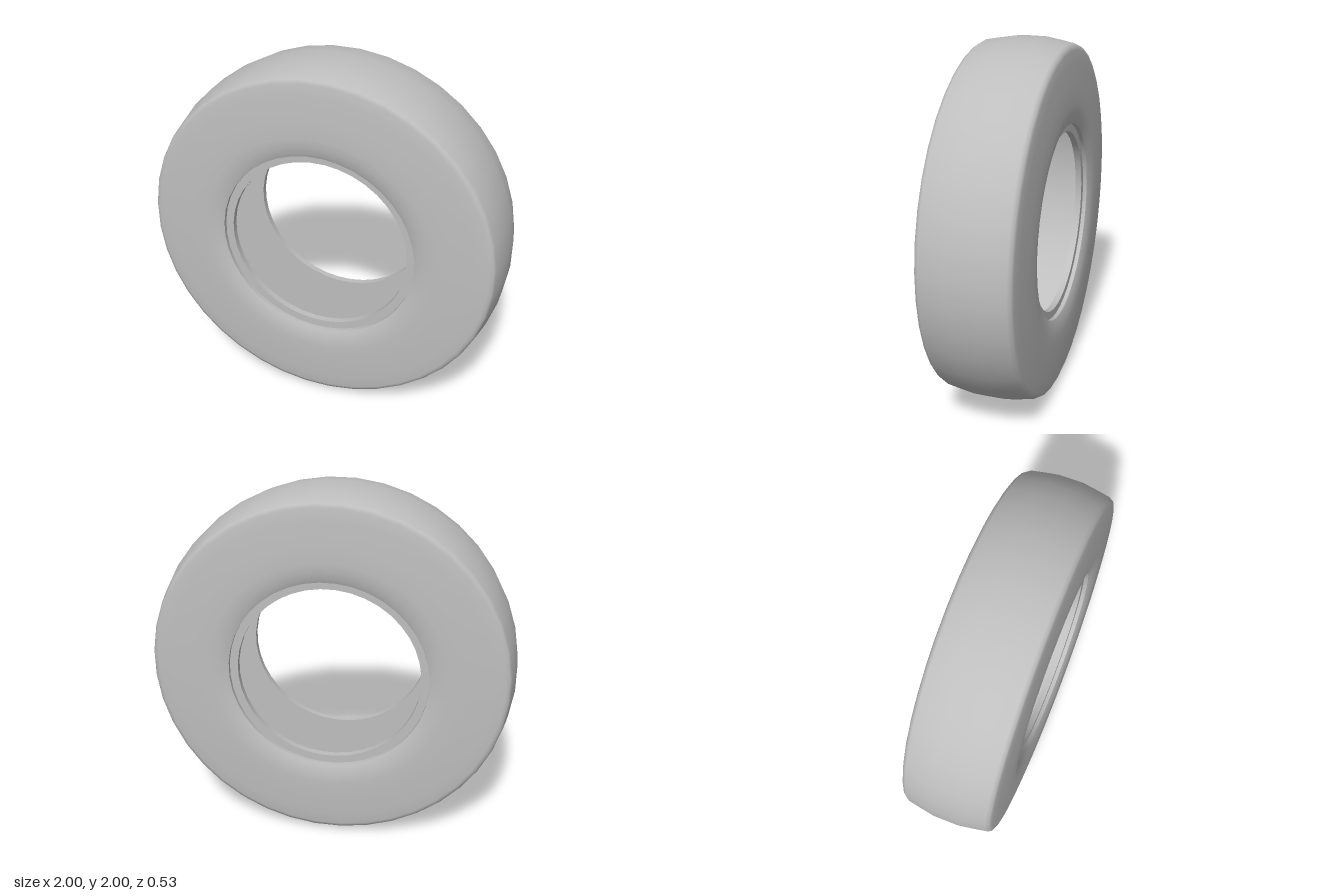
import * as THREE from 'three';

const SEGMENTS = 40;

// Revolve a [radius, z] profile about the z axis, with a flat facet at the bottom.
function revolve(name, profile, material) {
  const points = profile.map(([r, z]) => new THREE.Vector2(r, z));
  const geometry = new THREE.LatheGeometry(points, SEGMENTS, Math.PI / SEGMENTS);
  geometry.rotateX(Math.PI / 2);
  const mesh = new THREE.Mesh(geometry, material);
  mesh.name = name;
  return mesh;
}

// Mirror a back-to-middle profile so that it runs from back to front.
const mirrored = (half) => [...half, ...half.map(([r, z]) => [r, -z]).reverse()];

export function createModel() {
  const rubber = new THREE.MeshStandardMaterial({ color: 0xbebebe });
  rubber.name = 'grey rubber';

  const tyre = new THREE.Group();
  tyre.name = 'tyre';

  // Rounded sidewalls, shoulders and crowned tread
  tyre.add(revolve('outerShell', mirrored([
    [0.548, -0.243], [0.57, -0.252], [0.61, -0.261], [0.66, -0.265],
    [0.76, -0.262], [0.88, -0.254], [0.945, -0.248], [0.966, -0.24],
    [0.977, -0.222], [0.99, -0.15], [1.003, -0.07],
  ]), rubber));

  // Hollow inside, walked from front to back so it faces inward
  tyre.add(revolve('innerFrontWall', [[0.503, 0.185], [0.92, 0.185]], rubber));
  tyre.add(revolve('innerTread', [[0.92, 0.185], [0.92, -0.185]], rubber));
  tyre.add(revolve('innerBackWall', [[0.92, -0.185], [0.503, -0.185]], rubber));

  // Stepped bead around each opening, with crisp edges
  const bead = [[0.548, 0.243], [0.548, 0.22], [0.503, 0.22], [0.503, 0.185]];
  const stepNames = ['BeadRim', 'BeadSeat', 'BeadLip'];
  stepNames.forEach((step, i) => {
    const pair = [bead[i], bead[i + 1]];
    tyre.add(revolve('front' + step, pair, rubber));
    tyre.add(revolve('back' + step, pair.map(([r, z]) => [r, -z]).reverse(), rubber));
  });

  tyre.position.y = 1;
  const model = new THREE.Group();
  model.name = 'tyreModel';
  model.add(tyre);
  return model;
}
